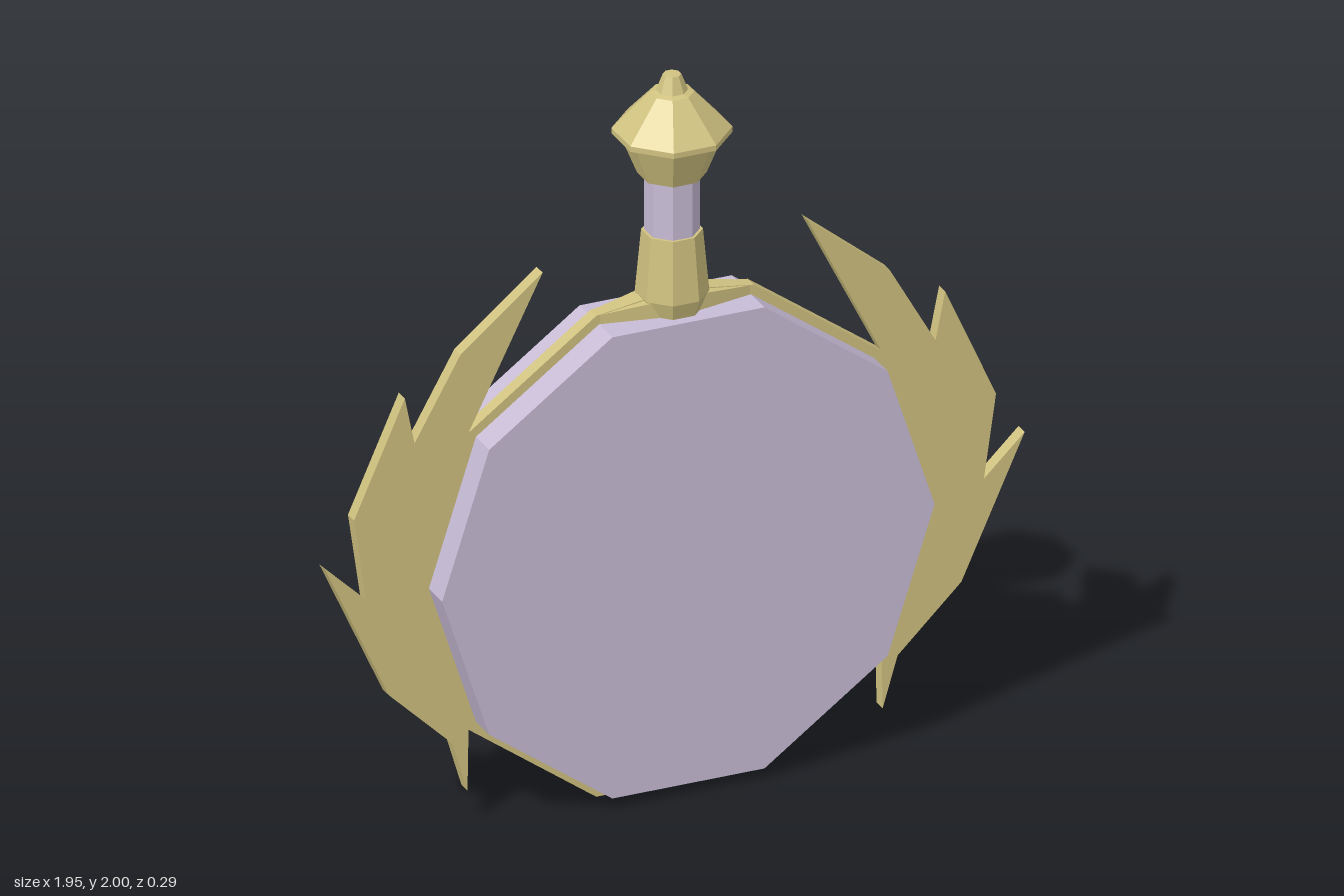
import * as THREE from 'three';

const gold = new THREE.MeshStandardMaterial({ color: 0xd0c280 });
gold.name = 'pale gold';
const lilac = new THREE.MeshStandardMaterial({ color: 0xc8bcd6 });
lilac.name = 'lilac glass';

const FLAT = Math.cos(Math.PI / 8); // octagon: flat half-width / corner radius

function faceted(geometry) {
  const g = geometry.index ? geometry.toNonIndexed() : geometry;
  g.computeVertexNormals();
  return g;
}

// Eight-sided turned part with a flat face to the front; profile is [half-width, y], bottom to top
function octagonal(name, profile, material) {
  const points = profile.map(([w, y]) => new THREE.Vector2(w / FLAT, y));
  const mesh = new THREE.Mesh(faceted(new THREE.LatheGeometry(points, 8, Math.PI / 8)), material);
  mesh.name = name;
  return mesh;
}

// Flat outline extruded evenly about z = 0
function slab(name, outline, depth, material) {
  const shape = new THREE.Shape(outline.map(([x, y]) => new THREE.Vector2(x, y)));
  const geometry = new THREE.ExtrudeGeometry(shape, { depth, bevelEnabled: false });
  geometry.translate(0, 0, -depth / 2);
  const mesh = new THREE.Mesh(geometry, material);
  mesh.name = name;
  return mesh;
}

export function createModel() {
  const model = new THREE.Group();
  model.name = 'flask';

  // Ten-sided body
  const decagon = [];
  for (let i = 0; i < 10; i++) {
    const a = (i * Math.PI) / 5;
    decagon.push([0.688 * Math.cos(a), 0.685 + 0.688 * Math.sin(a)]);
  }
  model.add(slab('body', decagon, 0.204, lilac));

  // Thin frame with feathered wings, one half mirrored
  const half = [
    [0.22, 0], [0.577, 0.262], [0.58, 0.09], [0.622, 0.232], [0.8, 0.405],
    [0.977, 0.795], [0.863, 0.685], [0.897, 0.92], [0.755, 1.238], [0.728, 1.105],
    [0.6, 1.33], [0.37, 1.518], [0.577, 1.105], [0.22, 1.365], [0.08, 1.385],
  ];
  const mirrored = half.map(([x, y]) => [-x, y]).reverse();
  model.add(slab('wingedFrame', [...half, ...mirrored], 0.038, gold));

  // Shoulders tapering from the collar into the frame
  for (const side of [-1, 1]) {
    const g = new THREE.BoxGeometry(0.16, 0.05, 1);
    const p = g.attributes.position;
    for (let i = 0; i < p.count; i++) {
      const outer = p.getX(i) * side > 0;
      const top = p.getY(i) > 0;
      p.setXYZ(i, side * (outer ? 0.21 : 0.05), top ? (outer ? 1.365 : 1.386) : 1.335,
        Math.sign(p.getZ(i)) * (outer ? 0.019 : 0.05));
    }
    const shoulder = new THREE.Mesh(faceted(g), gold);
    shoulder.name = side > 0 ? 'leftShoulder' : 'rightShoulder';
    model.add(shoulder);
  }

  // Collar, neck and stopper
  model.add(octagonal('collar', [[0, 1.335], [0.072, 1.335], [0.088, 1.385], [0.073, 1.56], [0, 1.56]], gold));
  model.add(octagonal('neck', [[0.066, 1.55], [0.066, 1.73]], lilac));
  model.add(octagonal('stopper', [
    [0, 1.72], [0.082, 1.72], [0.125, 1.833], [0.143, 1.833], [0.143, 1.848],
    [0.053, 1.95], [0.038, 1.955], [0.022, 2], [0, 2],
  ], gold));

  return model;
}
